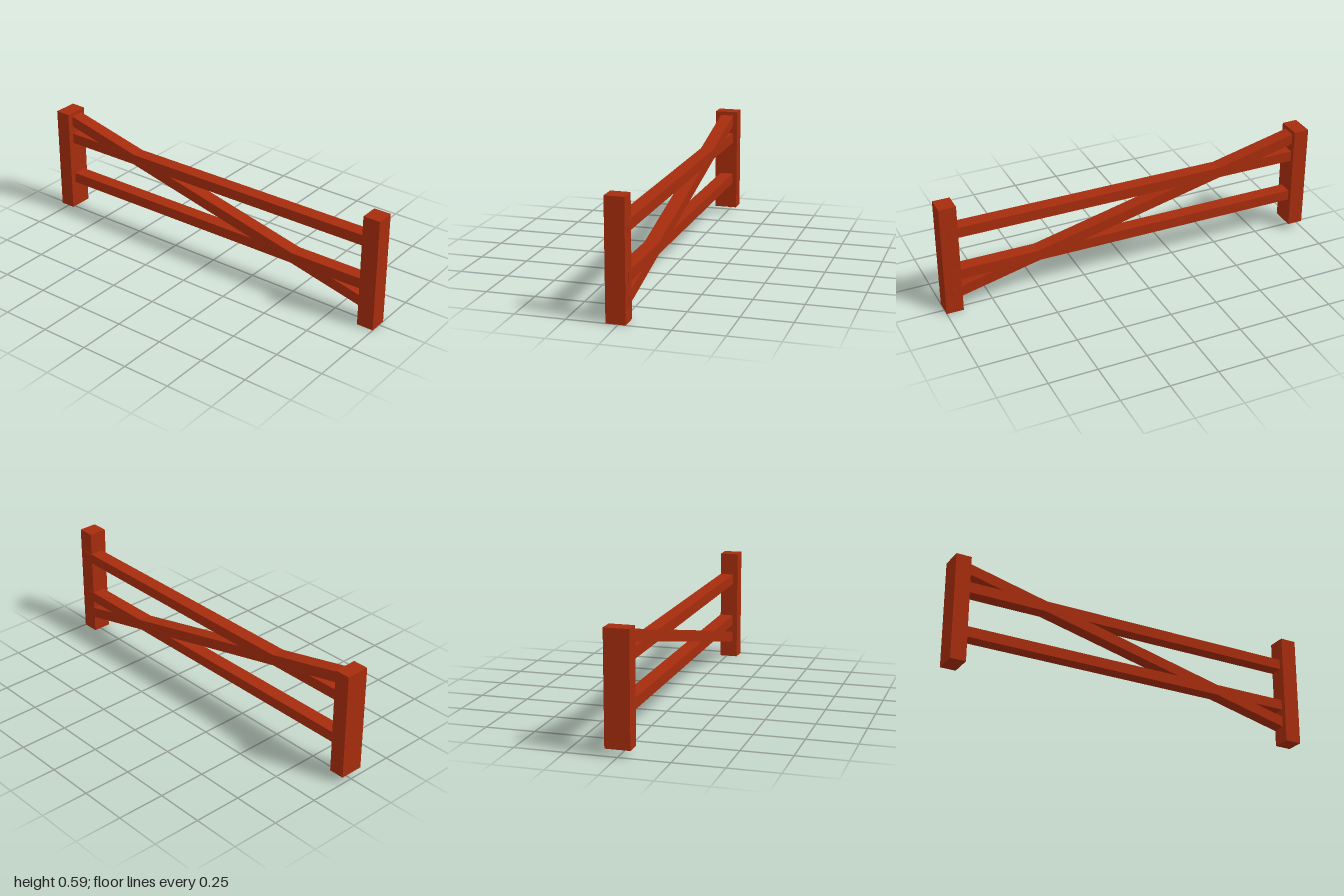
import * as THREE from 'three';

export function createModel() {
  const group = new THREE.Group();
  group.name = 'fenceSection';
  const wood = new THREE.MeshStandardMaterial({ color: 0xa62c0d, flatShading: true });

  // Box given by its limits; slope shears it in y along z so the ends stay upright
  function beam(name, [x0, x1], [y0, y1], [z0, z1], slope = 0) {
    const geo = new THREE.BoxGeometry(x1 - x0, y1 - y0, z1 - z0);
    geo.translate((x0 + x1) / 2, (y0 + y1) / 2, (z0 + z1) / 2);
    const pos = geo.attributes.position;
    for (let i = 0; i < pos.count; i++) pos.setY(i, pos.getY(i) + slope * pos.getZ(i));
    geo.computeVertexNormals();
    const mesh = new THREE.Mesh(geo, wood);
    mesh.name = name;
    group.add(mesh);
  }

  // Posts
  beam('frontPost', [-0.059, 0.037], [0, 0.594], [0.912, 1]);
  beam('backPost', [-0.062, 0.061], [0.036, 0.592], [-1, -0.92]);

  // Rails, running into both posts
  const railX = [-0.033, 0.039];
  const railZ = [-0.96, 0.963];
  beam('upperRail', railX, [0.419, 0.474], railZ, 0.003);
  beam('lowerRail', railX, [0.182, 0.237], railZ, 0.003);

  // Diagonal brace, rising towards the back
  beam('diagonalBrace', [-0.0325, 0.0385], [0.3, 0.357], railZ, -0.234);

  return group;
}
